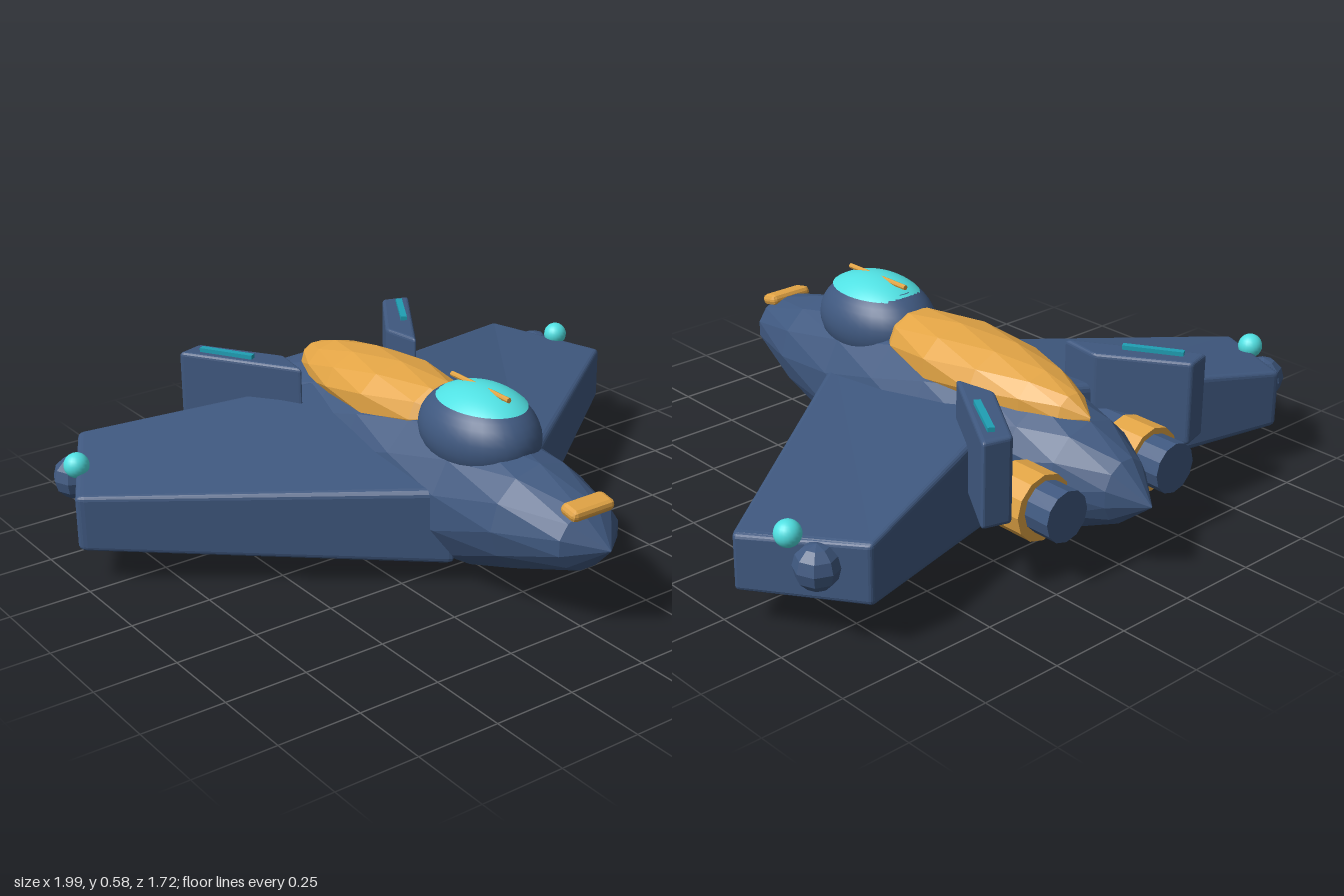
import * as THREE from 'three';
import { RoundedBoxGeometry } from 'three/addons/geometries/RoundedBoxGeometry.js';

const paint = (color, flatShading = true) => {
  const m = new THREE.MeshStandardMaterial({ color });
  m.flatShading = flatShading;
  return m;
};
const blue = paint(0x3f587f), blueSmooth = paint(0x3f587f, false);
const gold = paint(0xe2a445), red = paint(0xd9583a);
const cyan = paint(0x50e0e2, false), teal = paint(0x1f9fb4);

function add(parent, name, geometry, material, x = 0, y = 0, z = 0) {
  const mesh = new THREE.Mesh(geometry, material);
  mesh.name = name;
  mesh.position.set(x, y, z);
  parent.add(mesh);
  return mesh;
}

// Faceted skin over elliptical sections [z, halfWidth, bottom, top], nose to tail.
// Each ring is turned half a step so the facets are triangles.
function loft(sections, sides) {
  const pos = [], idx = [];
  sections.forEach(([z, w, lo, hi], i) => {
    for (let j = 0; j < sides; j++) {
      const a = ((j + i / 2) / sides) * Math.PI * 2 + Math.PI / 2;
      pos.push(Math.cos(a) * w, (lo + hi) / 2 + Math.sin(a) * (hi - lo) / 2, z);
      if (i === sections.length - 1) continue;
      const k = (j + 1) % sides, A = i * sides, B = A + sides;
      idx.push(A + j, B + j, A + k, A + k, B + j, B + k);
    }
  });
  const g = new THREE.BufferGeometry();
  g.setAttribute('position', new THREE.Float32BufferAttribute(pos, 3));
  g.setIndex(idx);
  g.computeVertexNormals();
  return g;
}

// Rounded slab whose plan corners are [x, z, bottom, top], ordered
// inner rear, outer rear, outer front, inner front; side = -1 mirrors it.
function slab(corners, size, radius, side) {
  const g = new RoundedBoxGeometry(...size, 2, radius);
  const p = g.attributes.position;
  for (let i = 0; i < p.count; i++) {
    const u = 0.5 + side * p.getX(i) / size[0];
    const v = 0.5 + p.getY(i) / size[1];
    const w = 0.5 + p.getZ(i) / size[2];
    const weights = [(1 - u) * (1 - w), u * (1 - w), u * w, (1 - u) * w];
    const mix = (k) => corners.reduce((sum, c, n) => sum + c[k] * weights[n], 0);
    p.setXYZ(i, side * mix(0), mix(2) * (1 - v) + mix(3) * v, mix(1));
  }
  g.computeVertexNormals();
  return g;
}

const rodZ = (r, length, sides) => new THREE.CylinderGeometry(r, r, length, sides).rotateX(Math.PI / 2);

export function createModel() {
  const ship = new THREE.Group();
  ship.name = 'spacecraft';

  // Hull and raised spine
  add(ship, 'fuselage', loft([
    [0.86, 0.001, 0.289, 0.291], [0.77, 0.11, 0.2, 0.385], [0.56, 0.175, 0.12, 0.44],
    [0.32, 0.2, 0.035, 0.465], [0.1, 0.22, 0.015, 0.475], [-0.1, 0.225, 0.004, 0.475],
    [-0.3, 0.215, 0.015, 0.465], [-0.47, 0.2, 0.035, 0.445], [-0.62, 0.165, 0.085, 0.41],
    [-0.76, 0.085, 0.15, 0.345], [-0.86, 0.001, 0.234, 0.236],
  ], 12), blue);
  add(ship, 'spine', loft([
    [0.2, 0.04, 0.4, 0.5], [0.1, 0.115, 0.36, 0.53], [-0.09, 0.158, 0.34, 0.542],
    [-0.28, 0.148, 0.34, 0.53], [-0.44, 0.11, 0.34, 0.505], [-0.55, 0.06, 0.35, 0.47],
    [-0.62, 0.002, 0.41, 0.42],
  ], 10), gold);

  // Cockpit pod with glass cap and top rail
  const pod = add(ship, 'cockpitPod', new THREE.SphereGeometry(1, 32, 20), blueSmooth, 0, 0.45, 0.29);
  pod.scale.set(0.155, 0.137, 0.213);
  const glass = add(ship, 'canopyGlass',
    new THREE.SphereGeometry(1, 32, 8, 0, Math.PI * 2, 0, 0.82), cyan, 0, 0.45, 0.298);
  glass.scale.set(0.157, 0.141, 0.216);
  add(ship, 'canopyRail', rodZ(0.008, 0.26, 8), gold, 0, 0.582, 0.29);

  // Nose bar
  const bar = add(ship, 'noseBar', new RoundedBoxGeometry(0.15, 0.035, 0.065, 1, 0.014), gold, 0, 0.385, 0.76);
  bar.rotation.x = 0.2;

  for (const s of [1, -1]) {
    const half = new THREE.Group();
    half.name = s > 0 ? 'leftSide' : 'rightSide';
    ship.add(half);

    // Thick swept wing with tip light and pod
    add(half, 'wing', slab([
      [0.1, -0.4, 0.075, 0.412], [0.81, -0.645, 0.15, 0.33],
      [1, -0.3, 0.12, 0.292], [0.13, 0.36, 0.08, 0.315],
    ], [0.85, 0.25, 0.6], 0.02, s), blue);
    add(half, 'tipLight', new THREE.SphereGeometry(0.038, 20, 14), cyan, s * 0.92, 0.322, -0.44);
    add(half, 'tipPod', new THREE.SphereGeometry(0.066, 8, 6), blue, s * 0.89, 0.248, -0.52);

    // Splayed tail fin and its light strip
    add(half, 'tailFin', slab([
      [0.355, -0.68, 0.24, 0.5], [0.445, -0.655, 0.24, 0.5],
      [0.215, -0.3, 0.24, 0.5], [0.195, -0.44, 0.24, 0.5],
    ], [0.12, 0.3, 0.35], 0.014, s), blue);
    const strip = add(half, 'finStrip', new THREE.BoxGeometry(0.02, 0.02, 0.18), teal, s * 0.335, 0.503, -0.545);
    strip.rotation.y = -s * 0.54;

    // Engine: pod, collar, nozzle
    add(half, 'enginePod', rodZ(0.092, 0.3, 12), blue, s * 0.22, 0.24, -0.42);
    add(half, 'engineCollar', rodZ(0.1, 0.12, 12), gold, s * 0.22, 0.235, -0.605);
    add(half, 'engineNozzle', rodZ(0.077, 0.12, 12), blue, s * 0.217, 0.24, -0.69);

    // Landing foot
    add(half, 'landingFoot', new THREE.CylinderGeometry(0.038, 0.038, 0.12, 10), red, s * 0.155, 0.078, -0.11);
  }
  return ship;
}
